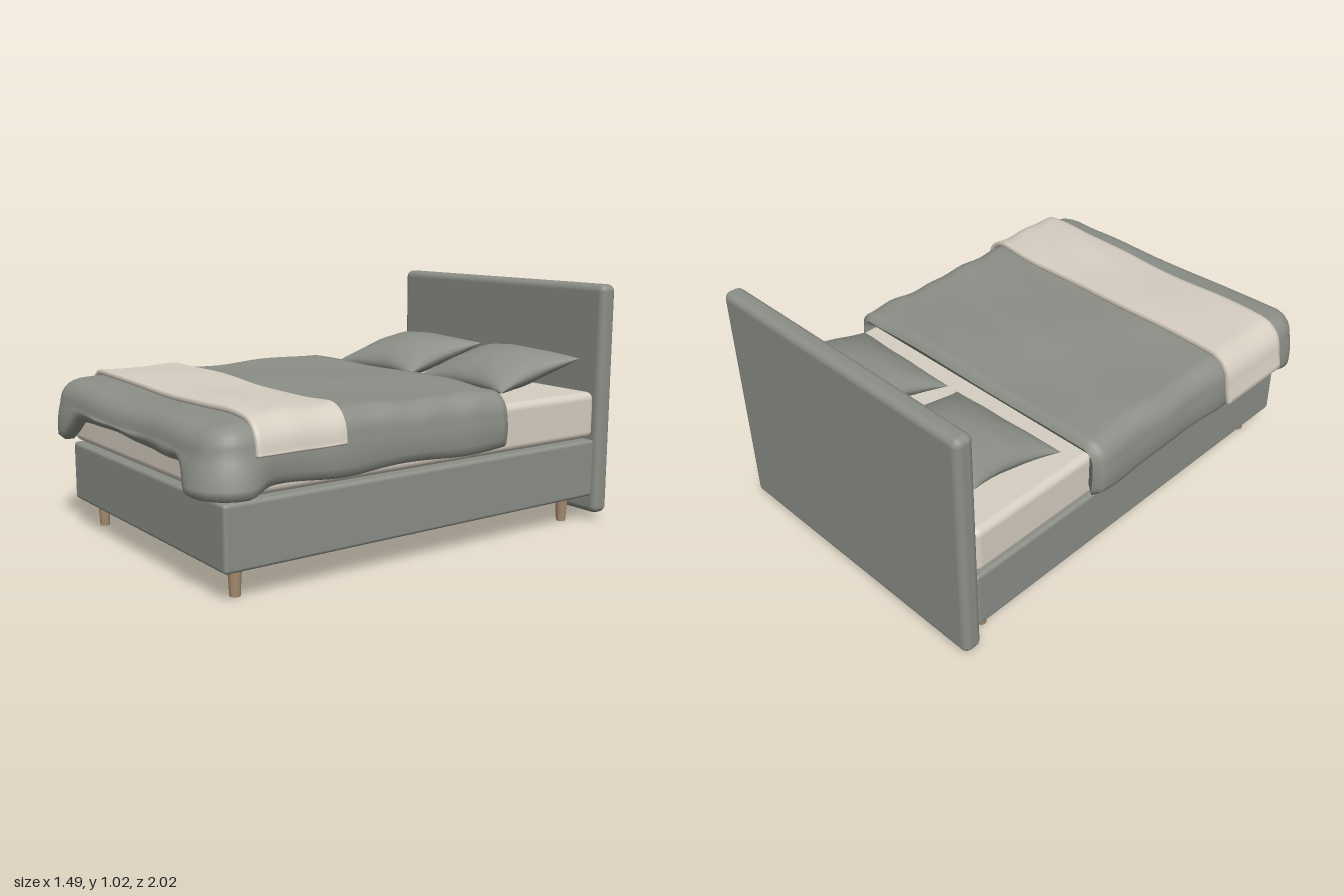
import * as THREE from 'three';
import { RoundedBoxGeometry } from 'three/addons/geometries/RoundedBoxGeometry.js';

const { lerp, smoothstep } = THREE.MathUtils;
const V = (x, y, z) => new THREE.Vector3(x, y, z);

// Half width and front of the mattress, which the bedding drapes over
const W = 0.63, L = 0.91, SHOULDER = 0.09;

// Skin a row of point columns into one smooth surface
function loft(columns) {
  const n = columns[0].length, index = [];
  for (let i = 0; i < columns.length - 1; i++) {
    for (let j = 0; j < n - 1; j++) {
      const a = i * n + j, b = a + n;
      index.push(a, a + 1, b + 1, a, b + 1, b);
    }
  }
  const g = new THREE.BufferGeometry().setFromPoints(columns.flat());
  g.setIndex(index);
  g.computeVertexNormals();
  return g;
}

// Close an end by folding the upper and lower layers onto their middle
const cap = (col, dx, dy, dz) => col.map((p, j) =>
  p.clone().add(col[col.length - 1 - j]).multiplyScalar(0.5).add(V(dx, dy, dz)));

// Height of the duvet top with soft creases
function duvetTop(x, z) {
  const crease = Math.sin(30 * z - 9 * x + 2 * Math.sin(5 * x)) * smoothstep(x, -0.2, 0.5);
  return 0.638 + 0.004 * Math.sin(8 * x + 5 * z + 1) + 0.004 * Math.sin(13 * z - 4 * x)
    + 0.004 * crease - 0.014 * smoothstep(z, 0.75, 0.95);
}

// Outline of the draped edge: head left, round the foot, to head right
function drapePath() {
  const path = [], r = 0.05, head = -0.335;
  const half = [];
  for (let i = 0; i < 45; i++) half.push([W, lerp(head, L - r, i / 45), 1, 0]);
  for (let i = 0; i <= 8; i++) {
    const a = i / 8 * Math.PI / 2, c = Math.cos(a), s = Math.sin(a);
    half.push([W - r + r * c, L - r + r * s, c, s]);
  }
  for (let i = 1; i < 24; i++) half.push([lerp(W - r, 0, i / 24), L, 0, 1]);
  for (const [x, z, nx, nz] of half) path.push([-x, z, -nx, nz]);
  path.push([0, L, 0, 1]);
  return path.concat(half.reverse());
}

// One duvet column: outer layer from the middle to the hem, then back inside
function duvetColumn([bx, bz, nx, nz]) {
  const cz = Math.min(bz, 0.25), outer = [], inner = [];
  const corner = smoothstep(Math.abs(bx), 0.42, 0.58) * smoothstep(bz, 0.74, 0.87);
  const rest = lerp(0.405 + 0.007 * Math.sin(11 * bz), 0.487 + 0.01 * Math.sin(7 * bx + 2.5), nz);
  const hem = lerp(rest, 0.385, corner);
  const out = 0.066 + 0.005 * Math.sin(17 * bz + 9 * bx);
  const flare = corner * (bx > 0 ? 0.04 : 0.018) + 0.004 * Math.sin(23 * bx + 14 * bz);
  const at = (r, y) => V(bx + nx * r, y, bz + nz * r);
  const edge = at(out - SHOULDER, 0), lip = at(0.004, 0);
  const top = duvetTop(edge.x, edge.z);
  for (let k = 0; k <= 18; k++) {
    const t = k / 18, x = edge.x * t, z = lerp(cz, edge.z, t);
    outer.push(V(x, duvetTop(x, z), z));
    inner.push(V(lip.x * t, 0.573, lerp(cz, lip.z, t)));
  }
  for (let k = 1; k <= 7; k++) {
    const a = k / 7 * Math.PI / 2;
    outer.push(at(out - SHOULDER * (1 - Math.sin(a)), top - SHOULDER * (1 - Math.cos(a))));
    inner.push(at(0.004, 0.573 - 0.003 * k));
  }
  const low = hem + 0.02;
  for (let k = 1; k <= 6; k++) {
    const t = k / 6;
    outer.push(at(out + flare * t + 0.006 * Math.sin(t * Math.PI), lerp(top - SHOULDER, low, t)));
    inner.push(at(0.004 + flare * 0.3 * t, lerp(0.552, low, t)));
  }
  return [...outer, at(out * 0.75 + flare * 0.8, hem + 0.003), at(out * 0.35 + flare * 0.5, hem),
    ...inner.reverse()];
}

function duvetGeometry() {
  const cols = drapePath().map(duvetColumn);
  return loft([cap(cols[0], 0, 0, -0.022), ...cols, cap(cols[cols.length - 1], 0, 0, -0.022)]);
}

// Point of the throw at step s (-1 to 1 across), distance z, height off above the duvet
function throwPoint(s, z, off) {
  const side = Math.sign(s), t = Math.abs(s), edge = W + 0.07 - SHOULDER;
  const R = SHOULDER + 0.003 + off;
  if (t <= 0.7) {
    const x = s / 0.7 * edge;
    return V(x, duvetTop(x, z) + 0.003 + off, z);
  }
  const top = duvetTop(side * edge, z) - SHOULDER;
  const a = Math.min((t - 0.7) / 0.18, 1) * Math.PI / 2;
  const fall = Math.max(t - 0.88, 0) / 0.12;
  const x = edge + R * Math.sin(a) + fall * (side < 0 ? 0.018 : 0.004);
  const y = top + R * Math.cos(a);
  return V(side * x, lerp(y, side < 0 ? 0.462 : 0.532, fall), z);
}

function throwGeometry() {
  const cols = [];
  for (let i = 0; i <= 80; i++) {
    const s = i / 40 - 1, col = [];
    const z0 = 0.438 + 0.025 * s + 0.004 * Math.sin(9 * s), z1 = z0 + 0.362;
    for (let j = 0; j <= 20; j++) col.push(throwPoint(s, lerp(z0, z1, j / 20), 0.022));
    col.push(throwPoint(s, z1 + 0.006, 0.011));
    for (let j = 20; j >= 0; j--) col.push(throwPoint(s, lerp(z0, z1, j / 20), 0));
    col.push(throwPoint(s, z0 - 0.006, 0.011), col[0].clone());
    cols.push(col);
  }
  const n = cols[0].length;
  const flat = col => {
    const c = col.map(p => p.clone());
    for (let j = 0; j < 21; j++) {
      c[j].lerp(col[42 - j], 0.5);
      c[42 - j].copy(c[j]);
    }
    c[n - 1].copy(c[0]);
    c.forEach(p => { p.y -= 0.005; });
    return c;
  };
  return loft([flat(cols[0]), ...cols, flat(cols[80])]);
}

// Pillow: puffed square with pinched sides and pointed corners
function pillowGeometry(seed) {
  const cols = [];
  for (let i = 0; i <= 32; i++) {
    const u = -Math.cos(i / 32 * Math.PI), col = [];
    for (let j = 0; j <= 64; j++) {
      const a = j / 64 * Math.PI * 2, v = -Math.cos(a);
      const puff = Math.pow(Math.max((1 - u * u) * (1 - v * v), 0), 0.5);
      const fold = 1 + 0.07 * Math.sin(7 * Math.atan2(v, u) + seed) * (u * u + v * v) * 0.6;
      const x = 0.272 * u * (1 - 0.13 * (1 - v * v));
      const z = 0.228 * v * (1 - 0.14 * (1 - u * u));
      col.push(V(x, Math.sign(Math.sin(a)) * 0.08 * puff * fold, z));
    }
    cols.push(col);
  }
  return loft(cols);
}

export function createModel() {
  const model = new THREE.Group();
  const paint = (name, color) => {
    const m = new THREE.MeshStandardMaterial({ color });
    m.name = name;
    return m;
  };
  const grey = paint('grey fabric', 0x8b8f87);
  const cream = paint('cream fabric', 0xd6cec1);
  const wood = paint('wood', 0xa58b70);

  const add = (name, geometry, material, x = 0, y = 0, z = 0) => {
    const m = new THREE.Mesh(geometry, material);
    m.name = name;
    m.position.set(x, y, z);
    model.add(m);
    return m;
  };

  // Upholstered frame and mattress
  add('headboard', new RoundedBoxGeometry(1.306, 0.99, 0.082, 5, 0.03), grey, 0, 0.528, -0.959);
  add('bedBase', new RoundedBoxGeometry(1.27, 0.247, 1.83, 4, 0.015), grey, 0, 0.237, -0.005);
  add('mattress', new RoundedBoxGeometry(1.264, 0.2, 1.825, 5, 0.032), cream, 0, 0.468, -0.005);

  // Tapered legs
  for (const x of [-0.545, 0.545]) {
    for (const z of [-0.825, 0.82]) {
      add('leg', new THREE.CylinderGeometry(0.027, 0.02, 0.118, 24), wood, x, 0.059, z);
    }
  }

  // Bedding
  grey.side = THREE.DoubleSide;
  add('duvet', duvetGeometry(), grey);
  add('throwBlanket', throwGeometry(), cream);
  for (const side of [-1, 1]) {
    const p = add('pillow', pillowGeometry(side), grey, side * 0.304, 0.658, -0.652);
    p.rotation.set(0.24, side * -0.03, 0);
  }
  return model;
}
